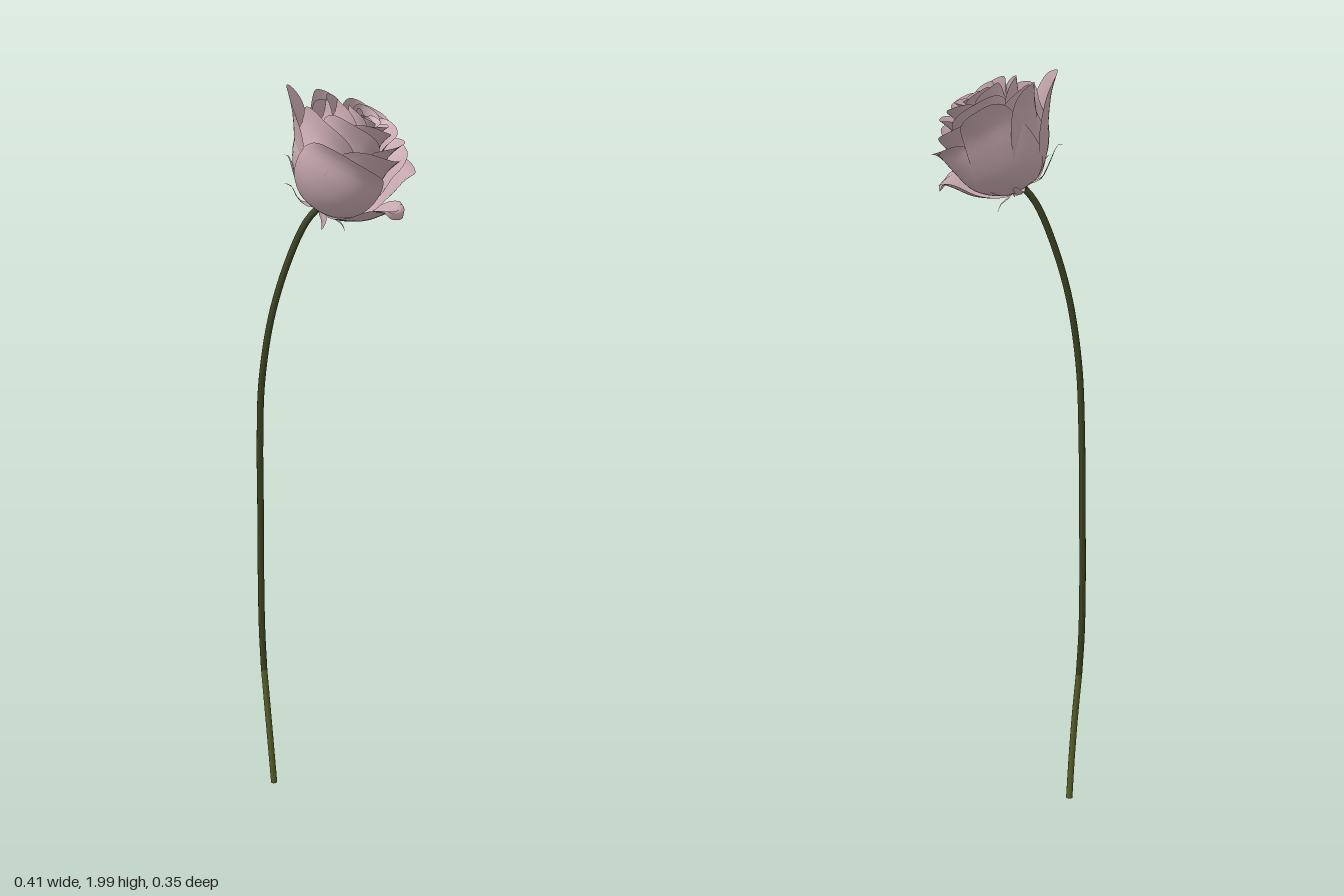
import * as THREE from 'three';

const petalMat = new THREE.MeshStandardMaterial({ color: 0xc6a8af, side: THREE.DoubleSide });
petalMat.name = 'mauve petal';
const stemMat = new THREE.MeshStandardMaterial({ color: 0x3a4220 });
stemMat.name = 'dark stem green';
const stemLowMat = new THREE.MeshStandardMaterial({ color: 0x555f28 });
stemLowMat.name = 'light stem green';

const DEG = Math.PI / 180;
const v2 = (p) => new THREE.Vector2(p[0], p[1]);

// Surface from a rule: f(u in -1..1, v in 0..1) gives [x, y, z]
function sheet(nu, nv, f) {
  const pos = [], index = [];
  for (let j = 0; j <= nv; j++) {
    for (let i = 0; i <= nu; i++) pos.push(...f((i / nu) * 2 - 1, j / nv));
  }
  for (let j = 0; j < nv; j++) {
    for (let i = 0; i < nu; i++) {
      const a = j * (nu + 1) + i, b = a + 1, c = a + nu + 1, d = c + 1;
      index.push(a, c, b, b, c, d);
    }
  }
  const g = new THREE.BufferGeometry();
  g.setAttribute('position', new THREE.Float32BufferAttribute(pos, 3));
  g.setIndex(index);
  g.computeVertexNormals();
  return g;
}

// Cupped petal: a [radius, height] profile swept over an arc around the flower axis
function petal(name, az, half, profile, { skew = 0.06, roundness = 0.2, taper = 0.3, wave = 0.02, nu = 20 } = {}) {
  const curve = new THREE.SplineCurve(profile.map(v2));
  const geo = sheet(nu, 16, (u, v) => {
    const p = curve.getPointAt(v * (1 - roundness * Math.abs(u) ** 3));
    const a = (az + u * half * (1 - taper * v * v)) * DEG;
    const r = p.x * (1 + skew * u + wave * v * v * Math.sin(u * 5 + az));
    return [r * Math.cos(a), p.y, r * Math.sin(a)];
  });
  const m = new THREE.Mesh(geo, petalMat);
  m.name = name;
  return m;
}

// Slender pointed sepal along a [radius, height] profile
function sepal(az, profile) {
  const curve = new THREE.SplineCurve(profile.map(v2));
  const geo = sheet(4, 10, (u, v) => {
    const p = curve.getPointAt(v);
    const w = u * 0.016 * (1 - v) ** 0.7;
    const c = Math.cos(az * DEG), s = Math.sin(az * DEG);
    return [p.x * c - w * s, p.y + 0.2 * Math.abs(w), p.x * s + w * c];
  });
  const m = new THREE.Mesh(geo, petalMat);
  m.name = 'sepal';
  return m;
}

function stemPart(name, points, material, segments) {
  const curve = new THREE.CatmullRomCurve3(points.map((p) => new THREE.Vector3(...p)));
  const m = new THREE.Mesh(new THREE.TubeGeometry(curve, segments, 0.0088, 10), material);
  m.name = name;
  return m;
}

export function createModel() {
  const model = new THREE.Group();
  model.name = 'rose';

  // Stem, bending towards the flower
  model.add(stemPart('lowerStem', [
    [-0.16, 0, 0.01], [-0.167, 0.12, 0.015], [-0.175, 0.24, 0.014], [-0.184, 0.36, 0.006],
  ], stemLowMat, 16));
  model.add(stemPart('upperStem', [
    [-0.184, 0.36, 0.006], [-0.189, 0.48, -0.002], [-0.19, 0.65, -0.005], [-0.188, 0.85, -0.001],
    [-0.186, 1.05, 0.007], [-0.178, 1.22, 0.013], [-0.15, 1.4, 0.011],
    [-0.105, 1.55, 0.008], [-0.06, 1.65, 0.006], [-0.018, 1.7, 0.005],
  ], stemMat, 60));
  const cutEnd = new THREE.Mesh(new THREE.CircleGeometry(0.0088, 10).rotateX(Math.PI / 2), stemLowMat);
  cutEnd.name = 'stemCutEnd';
  cutEnd.position.set(-0.16, 0.0005, 0.01);
  model.add(cutEnd);

  // Flower head, its axis leaning towards +x
  const head = new THREE.Group();
  head.name = 'flowerHead';
  head.position.set(-0.02, 1.69, 0.004);
  head.rotation.z = -30 * DEG;
  model.add(head);

  const hip = new THREE.Mesh(new THREE.SphereGeometry(0.018, 12, 8), stemMat);
  hip.name = 'hip';
  head.add(hip);

  // Outer petals, each with its own flare
  head.add(petal('backPetal', 182, 56,
    [[0, 0], [0.055, 0], [0.11, 0.05], [0.145, 0.11], [0.185, 0.17], [0.225, 0.213]], { taper: 0.4 }));
  head.add(petal('rightPetal', -88, 56,
    [[0, 0], [0.055, 0], [0.11, 0.05], [0.132, 0.12], [0.145, 0.19], [0.178, 0.24]], { taper: 0.45, skew: -0.05 }));
  head.add(petal('leftPetal', 92, 62,
    [[0, 0], [0.055, 0], [0.11, 0.045], [0.138, 0.1], [0.148, 0.155], [0.172, 0.185]], { taper: 0.2 }));
  head.add(petal('lowerFrontPetal', 22, 44,
    [[0, 0], [0.05, -0.004], [0.115, 0.035], [0.155, 0.085], [0.178, 0.108], [0.188, 0.088]], { taper: 0.2 }));
  head.add(petal('frontPetal', -22, 52,
    [[0, 0], [0.05, 0.002], [0.105, 0.05], [0.125, 0.12], [0.135, 0.175], [0.162, 0.192]], { taper: 0.3 }));
  head.add(petal('backInnerPetal', 222, 48,
    [[0, 0], [0.05, 0.003], [0.1, 0.05], [0.13, 0.12], [0.158, 0.18], [0.19, 0.225]], { taper: 0.4 }));

  // Inner rows of petals, tightening towards the heart
  const heart = new THREE.Group();
  heart.name = 'innerPetals';
  heart.position.set(-0.018, 0, 0.01);
  head.add(heart);
  const rows = [
    { n: 4, start: 45, half: 64, profile: [[0, 0.01], [0.07, 0.03], [0.115, 0.1], [0.122, 0.17], [0.142, 0.222]] },
    { n: 4, start: 10, half: 66, profile: [[0, 0.02], [0.06, 0.05], [0.098, 0.13], [0.096, 0.2], [0.113, 0.25]] },
    { n: 4, start: 60, half: 68, profile: [[0, 0.03], [0.05, 0.08], [0.077, 0.16], [0.07, 0.22], [0.084, 0.264]] },
    { n: 3, start: 20, half: 85, profile: [[0, 0.05], [0.04, 0.1], [0.056, 0.18], [0.047, 0.235], [0.057, 0.267]] },
    { n: 3, start: 80, half: 85, profile: [[0, 0.08], [0.025, 0.13], [0.037, 0.19], [0.029, 0.24], [0.035, 0.262]] },
  ];
  rows.forEach((row, k) => {
    for (let i = 0; i < row.n; i++) {
      heart.add(petal(`petalRow${k + 1}`, row.start + (i * 360) / row.n, row.half, row.profile,
        { skew: 0.09, roundness: 0.14, taper: 0.2, wave: 0.03 }));
    }
  });
  heart.add(petal('rolledHeart', 0, 480, [[0, 0.1], [0.012, 0.15], [0.015, 0.21], [0.013, 0.255]],
    { skew: 0.65, roundness: 0.06, taper: 0, wave: 0, nu: 56 }));

  // Sepals curling out below the cup
  const curled = [[0.01, 0], [0.05, -0.012], [0.085, 0.002], [0.11, 0.02], [0.135, 0.022]];
  const hanging = [[0.01, 0], [0.04, -0.012], [0.065, -0.016], [0.085, -0.03]];
  head.add(sepal(205, [[0.01, 0], [0.06, -0.008], [0.105, 0.02], [0.145, 0.05], [0.165, 0.045]]));
  head.add(sepal(150, curled));
  head.add(sepal(75, hanging));
  head.add(sepal(0, hanging));
  head.add(sepal(-80, curled));

  return model;
}
